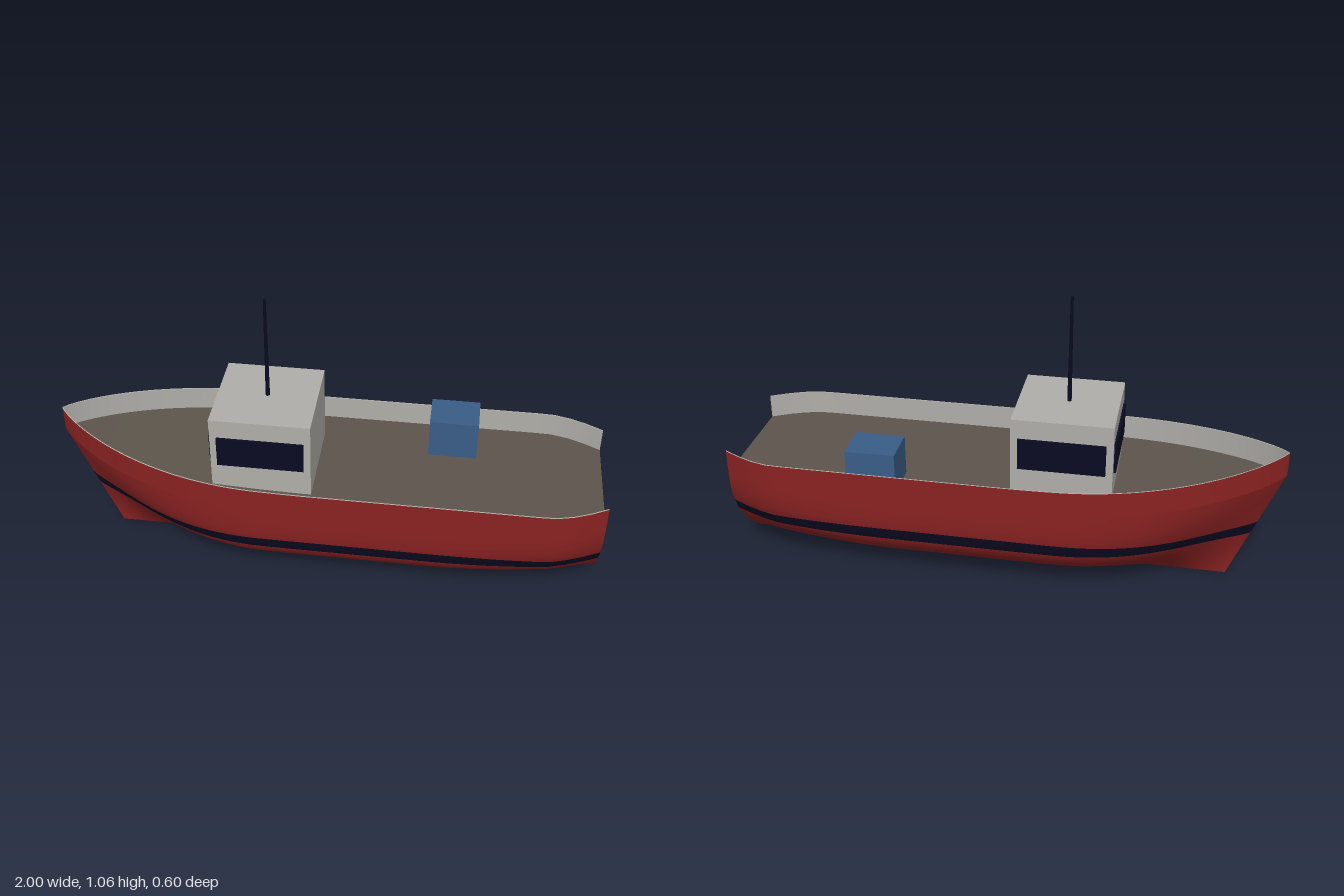
import * as THREE from 'three';

const mat = (name, color, side = THREE.FrontSide) => {
  const m = new THREE.MeshStandardMaterial({ color, side });
  m.name = name;
  return m;
};

// Hull lines: bow at -x, stern at +x
const { lerp, smoothstep } = THREE.MathUtils;
const deckY = X => 0.366 + 0.073 * Math.max(0, -X) ** 2;
const railY = X => deckY(X) + 0.09;
const halfWidth = X => {
  if (X < -0.22) return 0.302 * (1 - (1 - ((X + 1) / 0.78) ** 0.85) ** 2);
  if (X > 0.8) return 0.302 - 0.075 * ((X - 0.8) / 0.2) ** 1.6;
  return 0.302;
};
// Fullness of the section: sharp V at the bow, round amidships, softer V at the stern
const fullness = X => lerp(lerp(1.2, 3.8, smoothstep(X, -1, -0.25)), 2.2, smoothstep(X, 0.4, 1));
const hullPoint = (X, y) => {
  const f = Math.min(1, y / deckY(X));
  const rake = 0.18 * (1 - f) * ((1 - X) / 2) ** 3;
  return [X + rake, y, halfWidth(X) * (1 - (1 - f) ** fullness(X))];
};
const station = t => -1 + 2 * t ** 1.7;

// Grid surface from fn(u, v); rows run along u
function loft(nu, nv, fn, flip = false) {
  const pos = [], index = [];
  for (let j = 0; j <= nv; j++)
    for (let i = 0; i <= nu; i++) pos.push(...fn(i / nu, j / nv, j));
  for (let j = 0; j < nv; j++)
    for (let i = 0; i < nu; i++) {
      const a = j * (nu + 1) + i, b = a + 1, c = a + nu + 1, d = c + 1;
      index.push(...(flip ? [a, d, b, a, c, d] : [a, b, d, a, d, c]));
    }
  const g = new THREE.BufferGeometry();
  g.setAttribute('position', new THREE.Float32BufferAttribute(pos, 3));
  g.setIndex(index);
  g.computeVertexNormals();
  return g;
}

export function createModel() {
  const red = mat('hull red', 0x8a2222);
  const navy = mat('navy', 0x0a0a22);
  const grey = mat('cabin grey', 0xb0aea9);
  const brown = mat('deck brown', 0x5d554c);
  const blue = mat('crate blue', 0x3a5d86);

  const boat = new THREE.Group();
  boat.name = 'boat';
  const add = (name, geometry, material, x = 0, y = 0, z = 0) => {
    const m = new THREE.Mesh(geometry, material);
    m.name = name;
    m.position.set(x, y, z);
    boat.add(m);
  };

  const N = 56, LOW = 9, HIGH = 5, T = 0.005;
  const stripeLow = 0.187, stripeHigh = 0.236;
  const rowY = (X, j) => j <= LOW
    ? stripeLow * (j / LOW) ** 1.2
    : lerp(stripeHigh, deckY(X), (j - LOW - 1) / HIGH);

  for (const s of [1, -1]) {
    const side = s > 0 ? 'left' : 'right';
    const flip = s < 0;

    // Hull side with the painted stripe as its own row
    const hull = loft(N, LOW + 1 + HIGH, (u, v, j) => {
      const X = station(u), [x, y, z] = hullPoint(X, rowY(X, j));
      return [x, y, s * z];
    }, flip);
    const row = N * 6;
    hull.addGroup(0, LOW * row, 0);
    hull.addGroup(LOW * row, row, 1);
    hull.addGroup((LOW + 1) * row, HIGH * row, 0);
    add(side + 'Hull', hull, [red, navy]);

    // Bulwark: outer wall, inner wall, rim and stern end
    const wall = (X, v, inset) =>
      [X, lerp(deckY(X), railY(X), v), s * Math.max(0, halfWidth(X) - inset)];
    add(side + 'BulwarkOuter', loft(N, 1, (u, v) => wall(station(u), v, 0), flip), red);
    add(side + 'BulwarkInner', loft(N, 1, (u, v) => wall(station(u), v, T), !flip), grey);
    add(side + 'BulwarkRim', loft(N, 1, (u, v) => wall(station(u), 1, v * T), flip), grey);
    add(side + 'BulwarkEnd', loft(1, 1, (u, v) => wall(1, v, u * T), flip), grey);
  }

  // Flat transom and deck
  add('transom', loft(2, 18, (u, v) => {
    const [x, y, z] = hullPoint(1, v * deckY(1));
    return [x, y, z * (1 - 2 * u)];
  }), red);
  add('deck', loft(N, 2, (u, v) => {
    const X = station(u);
    return [X, deckY(X), halfWidth(X) * (1 - 2 * v)];
  }), brown);

  // Wheelhouse with thin window plates
  add('cabin', new THREE.BoxGeometry(0.36, 0.296, 0.362), grey, -0.22, 0.514, 0);
  for (const s of [1, -1])
    add(s > 0 ? 'leftWindow' : 'rightWindow',
      new THREE.BoxGeometry(0.31, 0.116, 0.009), navy, -0.22, 0.532, s * 0.1855);
  add('frontWindow', new THREE.BoxGeometry(0.009, 0.116, 0.31), navy, -0.4045, 0.532, 0);

  // Mast and deck crate
  add('mast', new THREE.CylinderGeometry(0.005, 0.008, 0.395, 8), navy, -0.22, 0.8585, 0);
  add('crate', new THREE.BoxGeometry(0.18, 0.152, 0.148), blue, 0.45, 0.441, -0.182);

  return boat;
}
